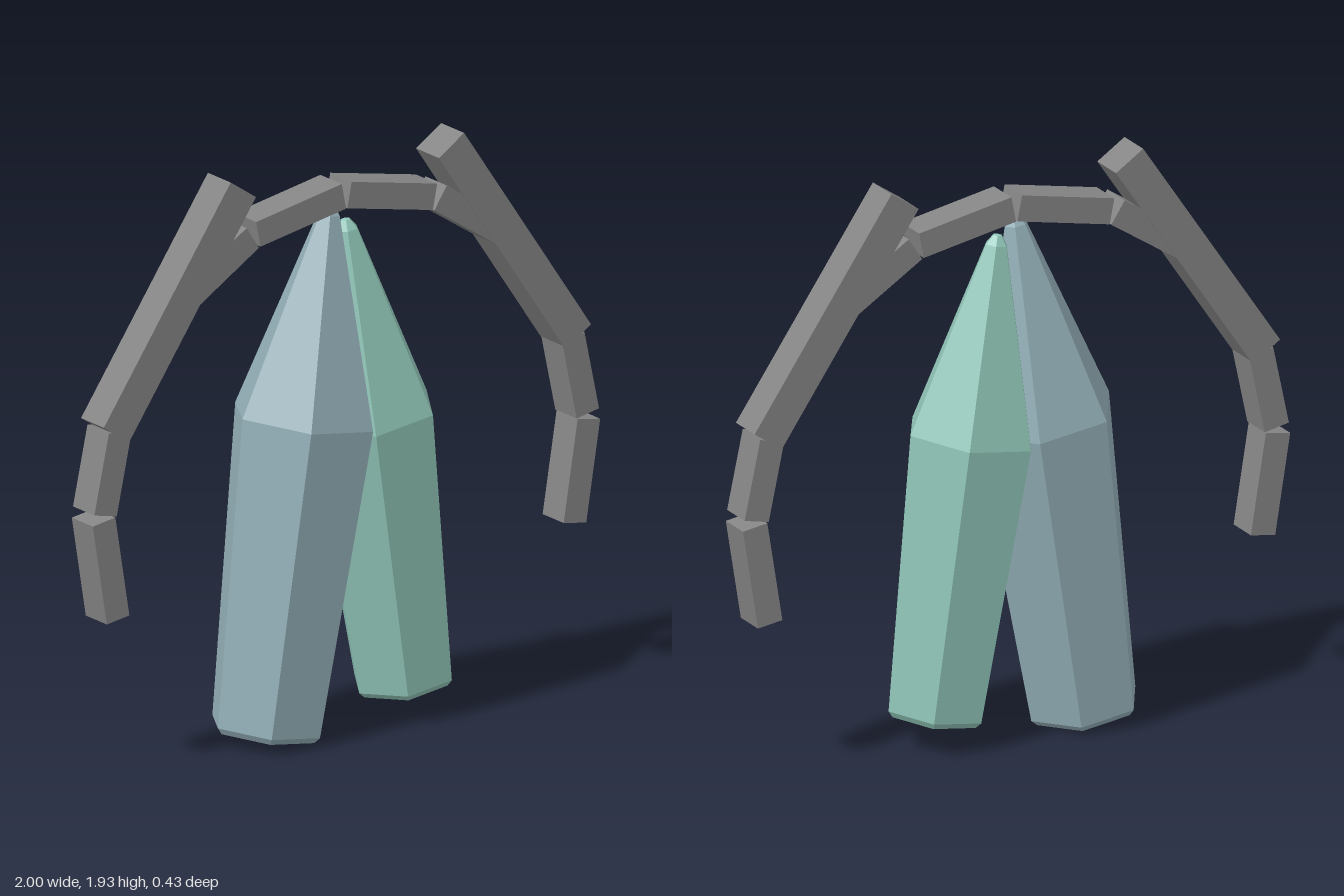
import * as THREE from 'three';

// Flat faceted copy of a geometry
function faceted(geometry) {
  const flat = geometry.toNonIndexed();
  flat.computeVertexNormals();
  return flat;
}

// Six-sided crystal with bevelled foot, wide shoulder and blunt tip, standing along a tilted axis
function crystal(name, material, foot, tip, footRadius, shoulderRadius, shoulderHeight) {
  const axis = new THREE.Vector2(tip[0] - foot[0], tip[1] - foot[1]);
  const length = axis.length();
  const profile = [
    [0, 0], [footRadius - 0.018, 0], [footRadius, 0.02],
    [shoulderRadius, shoulderHeight],
    [0.038, length - 0.035], [0.015, length - 0.004], [0, length],
  ].map(([r, y]) => new THREE.Vector2(r, y));
  const mesh = new THREE.Mesh(faceted(new THREE.LatheGeometry(profile, 6, Math.PI / 2)), material);
  mesh.name = name;
  mesh.position.set(foot[0], foot[1], 0);
  mesh.rotation.z = -Math.atan2(axis.x, axis.y);
  return mesh;
}

// Straight bar between two points in the x-y plane
function bar(name, material, [x1, y1], [x2, y2], thickness, depth) {
  const dx = x2 - x1, dy = y2 - y1;
  const mesh = new THREE.Mesh(new THREE.BoxGeometry(Math.hypot(dx, dy), thickness, depth), material);
  mesh.name = name;
  mesh.position.set((x1 + x2) / 2, (y1 + y2) / 2, 0);
  mesh.rotation.z = Math.atan2(dy, dx);
  return mesh;
}

export function createModel() {
  const model = new THREE.Group();
  model.name = 'crystalPendant';

  const grey = new THREE.MeshStandardMaterial({ color: 0x858585 });
  grey.name = 'grey metal';
  const blue = new THREE.MeshStandardMaterial({ color: 0x92aeb6 });
  blue.name = 'blue crystal';
  const green = new THREE.MeshStandardMaterial({ color: 0x8fc4b6 });
  green.name = 'green crystal';

  // Two crystals leaning together and overlapping at the middle
  model.add(crystal('blueCrystal', blue, [-0.278, 0.028], [-0.022, 1.77], 0.192, 0.246, 1.05));
  model.add(crystal('greenCrystal', green, [0.267, 0.097], [0.037, 1.71], 0.174, 0.226, 0.952));

  // Jointed bars arching to each side
  const segments = [
    ['topBar', [0.011, 1.807], [0.348, 1.74], 0.088, 0.12],
    ['linkBar', [0.37, 1.732], [0.615, 1.573], 0.09, 0.12],
    ['longBar', [0.41, 1.903], [0.91, 1.165], 0.12, 0.128],
    ['upperTipBar', [0.893, 1.165], [0.95, 0.898], 0.09, 0.12],
    ['lowerTipBar', [0.955, 0.878], [0.9, 0.537], 0.09, 0.118],
  ];
  for (const side of [1, -1]) {
    const arm = new THREE.Group();
    arm.name = side > 0 ? 'leftArm' : 'rightArm';
    for (const [name, a, b, thickness, depth] of segments) {
      arm.add(bar(name, grey, [side * a[0], a[1]], [side * b[0], b[1]], thickness, depth));
    }
    model.add(arm);
  }

  return model;
}
